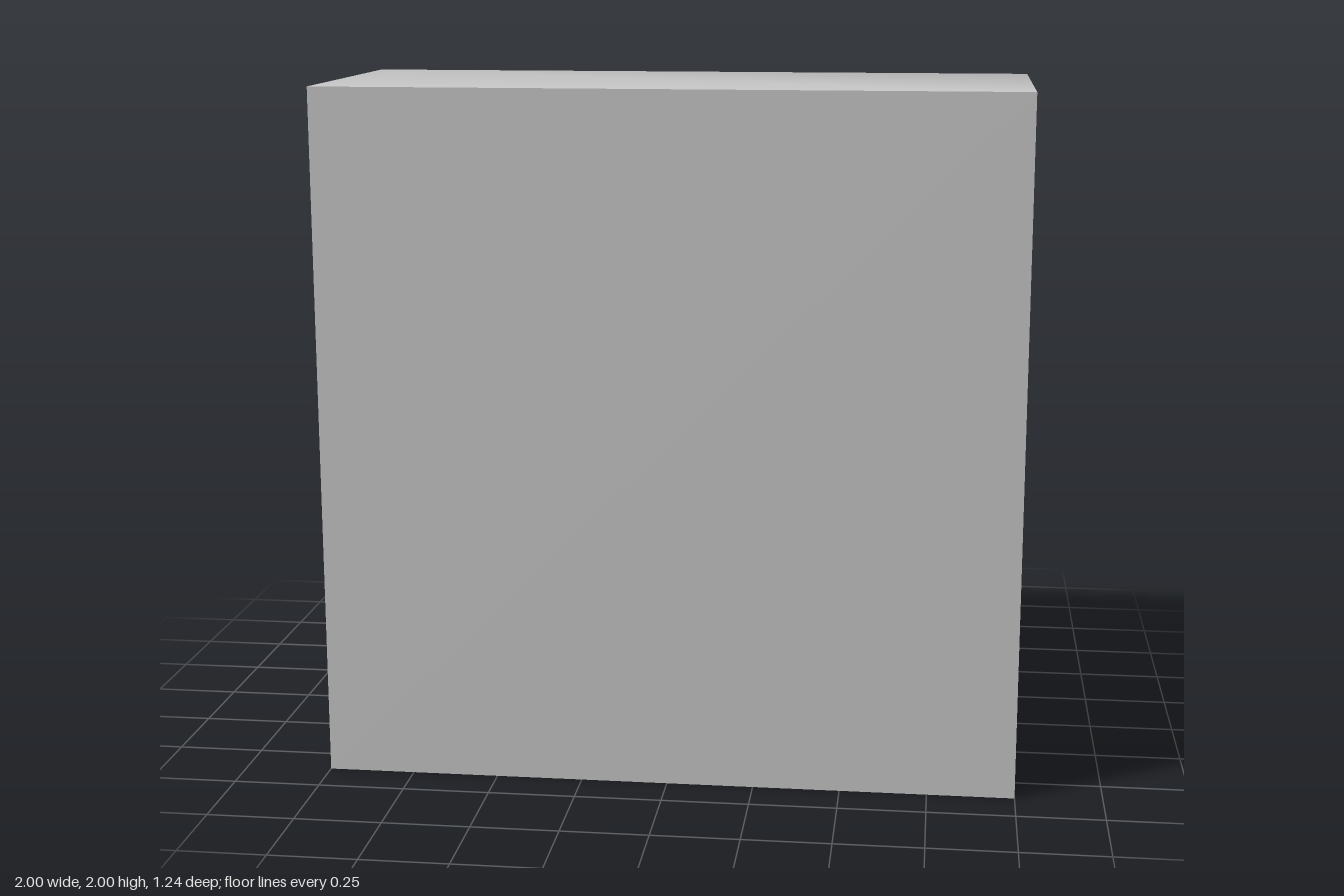
import * as THREE from 'three';
import { toCreasedNormals } from 'three/addons/utils/BufferGeometryUtils.js';

const CORNERS = [[1, 1], [-1, 1], [-1, -1], [1, -1]];

// Joins square cross-sections [z, half width], ordered front to back.
function loftSquares(sections, capFront, capBack) {
  const positions = [], index = [];
  for (const [z, half] of sections) {
    for (const [x, y] of CORNERS) positions.push(x * half, y * half, z);
  }
  for (let i = 0; i < sections.length - 1; i++) {
    for (let j = 0; j < 4; j++) {
      const a = i * 4 + j, b = i * 4 + (j + 1) % 4;
      index.push(a, b + 4, b, a, a + 4, b + 4);
    }
  }
  if (capFront) index.push(0, 1, 2, 0, 2, 3);
  const e = (sections.length - 1) * 4;
  if (capBack) index.push(e, e + 2, e + 1, e, e + 3, e + 2);
  const geometry = new THREE.BufferGeometry();
  geometry.setAttribute('position', new THREE.Float32BufferAttribute(positions, 3));
  geometry.setIndex(index);
  geometry.computeVertexNormals();
  return geometry;
}

export function createModel() {
  const model = new THREE.Group();
  model.name = 'taperedBox';
  const material = new THREE.MeshStandardMaterial({ color: 0xcccccc, side: THREE.DoubleSide });

  function addPart(name, geometry) {
    const mesh = new THREE.Mesh(geometry, material);
    mesh.name = name;
    mesh.position.y = 1;
    model.add(mesh);
  }

  // Main casing: flat front, straight sides, tapering in at the back
  const casing = loftSquares([[0.62, 1], [-0.2, 1], [-0.38, 0.8]], true, false);
  addPart('casing', toCreasedNormals(casing, 0.9));

  // Rear housing: straight walls with a rounded back rim
  const radius = 0.035, steps = 5;
  const sections = [[-0.38, 0.8]];
  for (let i = 0; i <= steps; i++) {
    const t = (i / steps) * Math.PI / 2;
    sections.push([-0.62 + radius - radius * Math.sin(t), 0.8 - radius + radius * Math.cos(t)]);
  }
  addPart('rearHousing', loftSquares(sections, false, true));

  return model;
}
